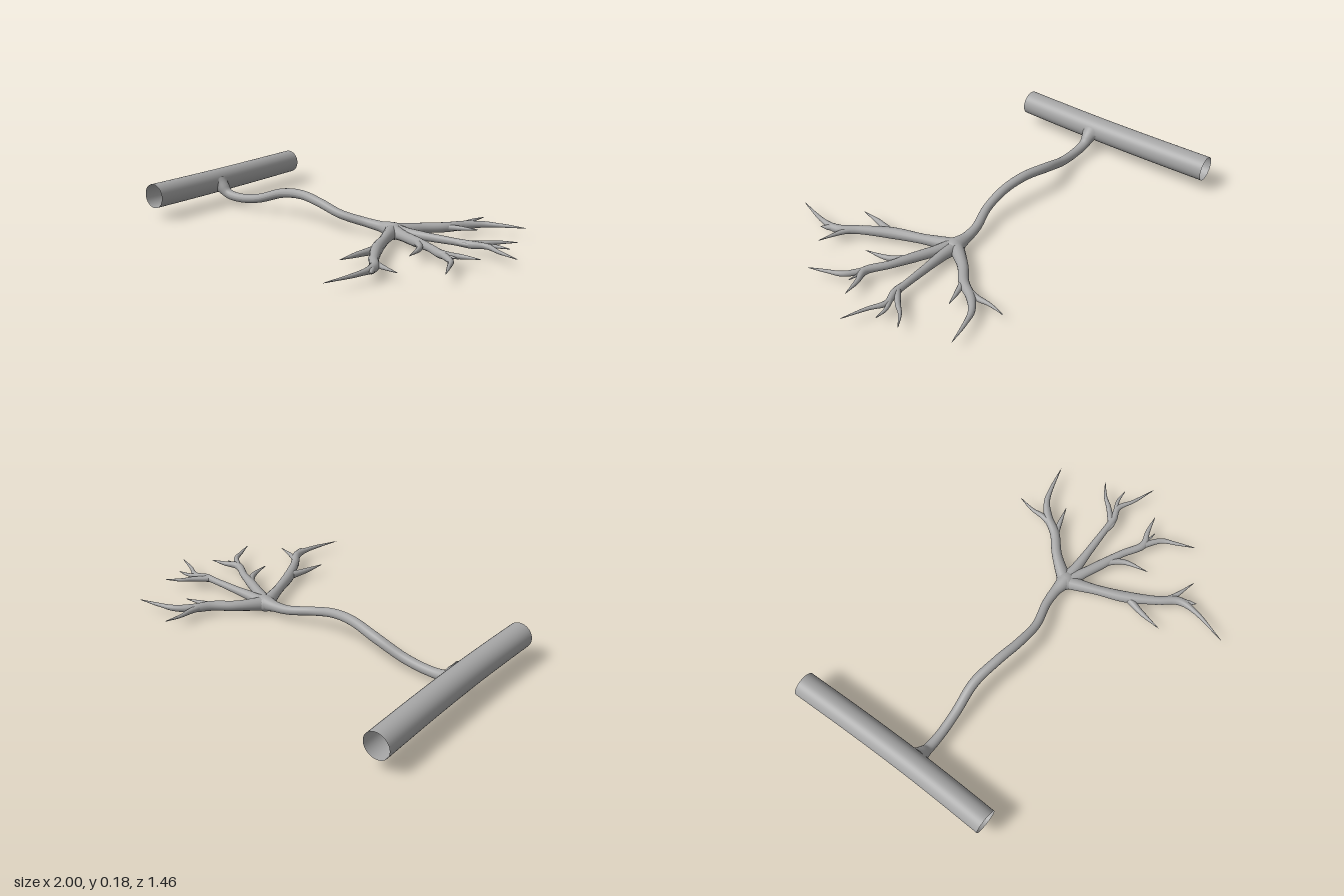
import * as THREE from 'three';

const PIPE_R = 0.064, PIPE_Y = 0.117;

// Tapered tube swept along a smooth curve; points are [x, y, z, radius]
function taperedTube(points, segments, sides, closeTip) {
  const curve = new THREE.CatmullRomCurve3(points.map(p => new THREE.Vector3(p[0], p[1], p[2])));
  const geo = new THREE.TubeGeometry(curve, segments, 1, sides, false);
  const pos = geo.attributes.position, v = new THREE.Vector3(), c = new THREE.Vector3();
  const last = points.length - 1;
  for (let i = 0; i <= segments; i++) {
    const u = i / segments;
    curve.getPointAt(u, c);
    // radius follows the same spacing as the control points
    const t = curve.getUtoTmapping(u) * last;
    const k = Math.min(Math.floor(t), last - 1);
    const f = THREE.MathUtils.smoothstep(t - k, 0, 1) * 0.5 + (t - k) * 0.5;
    const r = closeTip && i === segments ? 0.0005 : THREE.MathUtils.lerp(points[k][3], points[k + 1][3], f);
    for (let j = 0; j <= sides; j++) {
      const n = i * (sides + 1) + j;
      v.fromBufferAttribute(pos, n).sub(c).multiplyScalar(r).add(c);
      pos.setXYZ(n, v.x, v.y, v.z);
    }
  }
  return geo;
}

// Branch paths in plan: [x, z, radius]
const BRANCHES = {
  backBranch: [
    [[0.30, -0.09, 0.036], [0.39, -0.21, 0.026], [0.48, -0.295, 0.025], [0.53, -0.375, 0.022], [0.60, -0.44, 0.016], [0.68, -0.47, 0.01], [0.80, -0.50, 0.002]],
    [[0.51, -0.34, 0.02], [0.518, -0.41, 0.014], [0.515, -0.47, 0.009], [0.53, -0.56, 0.002]],
    [[0.45, -0.275, 0.018], [0.53, -0.305, 0.013], [0.63, -0.335, 0.002]],
  ],
  middleBranch: [
    [[0.30, -0.09, 0.036], [0.40, -0.087, 0.026], [0.52, -0.092, 0.02], [0.65, -0.097, 0.017], [0.73, -0.10, 0.019], [0.80, -0.12, 0.014], [0.88, -0.08, 0.009], [1.0, -0.035, 0.002]],
    [[0.71, -0.10, 0.017], [0.775, -0.165, 0.013], [0.81, -0.21, 0.009], [0.88, -0.265, 0.002]],
    [[0.77, -0.115, 0.014], [0.83, -0.145, 0.009], [0.90, -0.15, 0.002]],
    [[0.64, -0.097, 0.014], [0.70, -0.085, 0.01], [0.75, -0.09, 0.002]],
  ],
  frontBranch: [
    [[0.30, -0.08, 0.036], [0.40, -0.035, 0.026], [0.49, 0.005, 0.025], [0.60, 0.052, 0.019], [0.71, 0.11, 0.02], [0.78, 0.085, 0.012], [0.875, 0.065, 0.002]],
    [[0.51, 0.01, 0.02], [0.57, 0.09, 0.014], [0.60, 0.215, 0.002]],
    [[0.70, 0.105, 0.017], [0.785, 0.17, 0.014], [0.82, 0.24, 0.009], [0.86, 0.33, 0.002]],
    [[0.72, 0.11, 0.012], [0.80, 0.12, 0.002]],
  ],
  farFrontBranch: [
    [[0.30, -0.08, 0.036], [0.36, 0.07, 0.025], [0.42, 0.21, 0.029], [0.505, 0.35, 0.022], [0.57, 0.44, 0.022], [0.57, 0.54, 0.012], [0.525, 0.725, 0.002]],
    [[0.425, 0.215, 0.022], [0.40, 0.32, 0.014], [0.385, 0.44, 0.002]],
    [[0.49, 0.34, 0.02], [0.56, 0.395, 0.014], [0.695, 0.44, 0.002]],
    [[0.56, 0.43, 0.018], [0.59, 0.48, 0.014], [0.61, 0.515, 0.002]],
  ],
};

export function createModel() {
  const model = new THREE.Group();
  const grey = new THREE.MeshStandardMaterial({ color: 0xa6a6a6, side: THREE.DoubleSide });
  grey.name = 'grey';
  const add = (name, geo, parent = model) => {
    const mesh = new THREE.Mesh(geo, grey);
    mesh.name = name;
    parent.add(mesh);
    return mesh;
  };

  // Open, hollow main pipe with a slight bend towards the back
  const pipePath = [[-0.936, -0.73], [-0.918, -0.4], [-0.906, -0.08], [-0.903, 0.15], [-0.903, 0.38]];
  add('mainPipe', taperedTube(pipePath.map(([x, z]) => [x, PIPE_Y, z, PIPE_R]), 24, 40, false));

  // Winding stem, flared where it leaves the pipe
  const stem = taperedTube([
    [-0.868, 0.108, -0.065, 0.05], [-0.845, 0.095, -0.065, 0.038], [-0.80, 0.062, -0.065, 0.026],
    [-0.71, 0.051, -0.066, 0.024], [-0.58, 0.067, -0.075, 0.024], [-0.42, 0.118, -0.088, 0.025],
    [-0.26, 0.138, -0.065, 0.024], [-0.125, 0.122, -0.045, 0.023], [0.01, 0.085, -0.045, 0.022],
    [0.14, 0.058, -0.082, 0.023], [0.22, 0.05, -0.09, 0.026], [0.30, 0.045, -0.087, 0.04],
  ], 90, 24, false);
  // Keep the flare on the outside of the pipe wall
  const pos = stem.attributes.position;
  for (let i = 0; i < pos.count; i++) {
    const dy = pos.getY(i) - PIPE_Y;
    if (Math.abs(dy) < PIPE_R) {
      const wall = -0.907 + Math.sqrt(PIPE_R * PIPE_R - dy * dy);
      pos.setX(i, Math.max(pos.getX(i), wall));
    }
  }
  stem.computeVertexNormals();
  add('stem', stem);

  // Swollen junction the branches grow from
  const junction = add('junction', new THREE.SphereGeometry(1, 24, 16));
  junction.scale.set(0.052, 0.042, 0.048);
  junction.position.set(0.305, 0.042, -0.086);

  // Branches and their tapering twigs
  for (const [name, paths] of Object.entries(BRANCHES)) {
    const group = new THREE.Group();
    group.name = name;
    model.add(group);
    paths.forEach((path, i) => {
      const points = path.map(([x, z, r]) => [x, 0.043 + 0.008 * Math.min(1, Math.max(0, (x - 0.3) / 0.4)), z, r]);
      add(i ? 'twig' + i : 'limb', taperedTube(points, path.length * 6, 14, true), group);
    });
  }
  return model;
}
